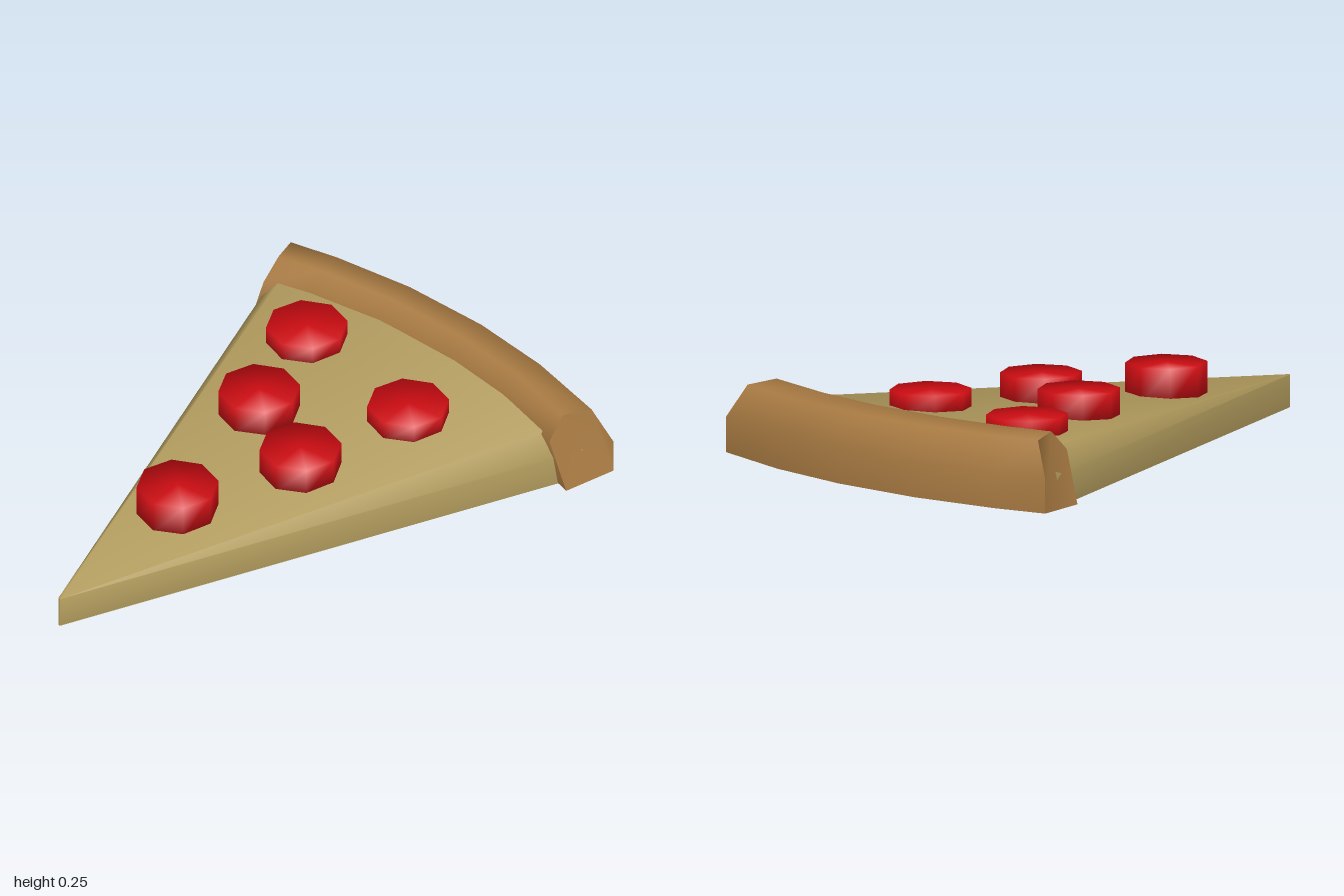
import * as THREE from 'three';
import { mergeVertices, toCreasedNormals } from 'three/addons/utils/BufferGeometryUtils.js';

const CHEESE = 0xb09a5c, CRUST = 0xa87a42, SALAMI = 0xcc0c12;
const TIP = { x: -1, z: -0.03 };

// Skin a list of cross-sections; closed sections also get end caps.
function loft(rows, closed, crease) {
  const n = rows[0].length, index = [];
  const last = (rows.length - 1) * n;
  for (let i = 0; i < rows.length - 1; i++) {
    for (let j = 0; j < (closed ? n : n - 1); j++) {
      const k = (j + 1) % n;
      const a = i * n + j, b = a + n, c = i * n + k, d = c + n;
      index.push(a, c, b, b, c, d);
    }
  }
  if (closed) {
    for (let j = 1; j < n - 1; j++) {
      index.push(0, j + 1, j, last, last + j, last + j + 1);
    }
  }
  const geometry = new THREE.BufferGeometry();
  geometry.setAttribute('position', new THREE.Float32BufferAttribute(rows.flat(2), 3));
  geometry.setIndex(index);
  return toCreasedNormals(geometry, crease);
}

function part(name, geometry, color) {
  const mesh = new THREE.Mesh(geometry, new THREE.MeshStandardMaterial({ color }));
  mesh.name = name;
  return mesh;
}

// Point on the arc around the tip of the slice.
function polar(radius, degrees, y) {
  const a = THREE.MathUtils.degToRad(degrees);
  return [TIP.x + radius * Math.cos(a), y, TIP.z + radius * Math.sin(a)];
}

// Wedge section at x: flat top, bevelled shoulders, upright sides, flat base.
function wedgeSection(x) {
  const run = x - TIP.x;
  const back = TIP.z - 0.004 - 0.376 * run, front = TIP.z + 0.004 + 0.402 * run;
  const top = 0.11 + 0.045 * run, bevel = 0.038 * run;
  const shoulder = top - 0.045 * run;
  return [
    [x, 0, back], [x, shoulder, back], [x, top, back + bevel],
    [x, top, front - bevel], [x, shoulder, front], [x, 0, front],
  ];
}

export function createModel() {
  const model = new THREE.Group();
  model.name = 'pizzaSlice';

  // Cheese wedge
  model.add(part('cheeseWedge', loft([wedgeSection(-1), wedgeSection(0.78)], true, 0.9), CHEESE));

  // Crust: profile as [radius, height, share of the end angle]
  const profile = [
    [2.0, 0.002, 1], [2.0, 0.12, 1], [1.945, 0.235, 0.93],
    [1.84, 0.247, 0.93], [1.775, 0.178, 0.97], [1.81, 0.002, 1.05],
  ];
  const stations = [-21, -15.5, -6.3, 3.7, 13, 22.5];
  const arcRows = (points) => stations.map((deg) => {
    const flare = 0.025 * (deg / 22) ** 2;
    return points.map(([r, y, share]) => polar(r + flare, deg * share, y));
  });
  model.add(part('crust', loft(arcRows(profile), true, 1.15), CRUST));

  // Dough underside beneath the crust
  const base = [[1.76, 0, 1], [1.81, 0, 1.05], [2.0, 0, 1]];
  model.add(part('crustBase', loft(arcRows(base), false, 0.9), CHEESE));

  // Salami discs: x, z, bottom, top
  const discs = [
    [-0.395, -0.053, 0.12, 0.24], [0.03, 0.11, 0.14, 0.243], [0.17, -0.203, 0.145, 0.25],
    [0.46, 0.2, 0.155, 0.233], [0.553, -0.34, 0.16, 0.235],
  ];
  const salami = new THREE.Group();
  salami.name = 'salami';
  for (const [x, z, bottom, top] of discs) {
    let disc = new THREE.CylinderGeometry(0.137, 0.137, top - bottom, 8);
    disc.deleteAttribute('normal');
    disc.deleteAttribute('uv');
    disc = mergeVertices(disc);
    disc.computeVertexNormals();
    const mesh = part('salamiDisc', disc, SALAMI);
    mesh.position.set(x, (bottom + top) / 2, z);
    mesh.rotation.y = 0.1;
    salami.add(mesh);
  }
  model.add(salami);
  return model;
}
